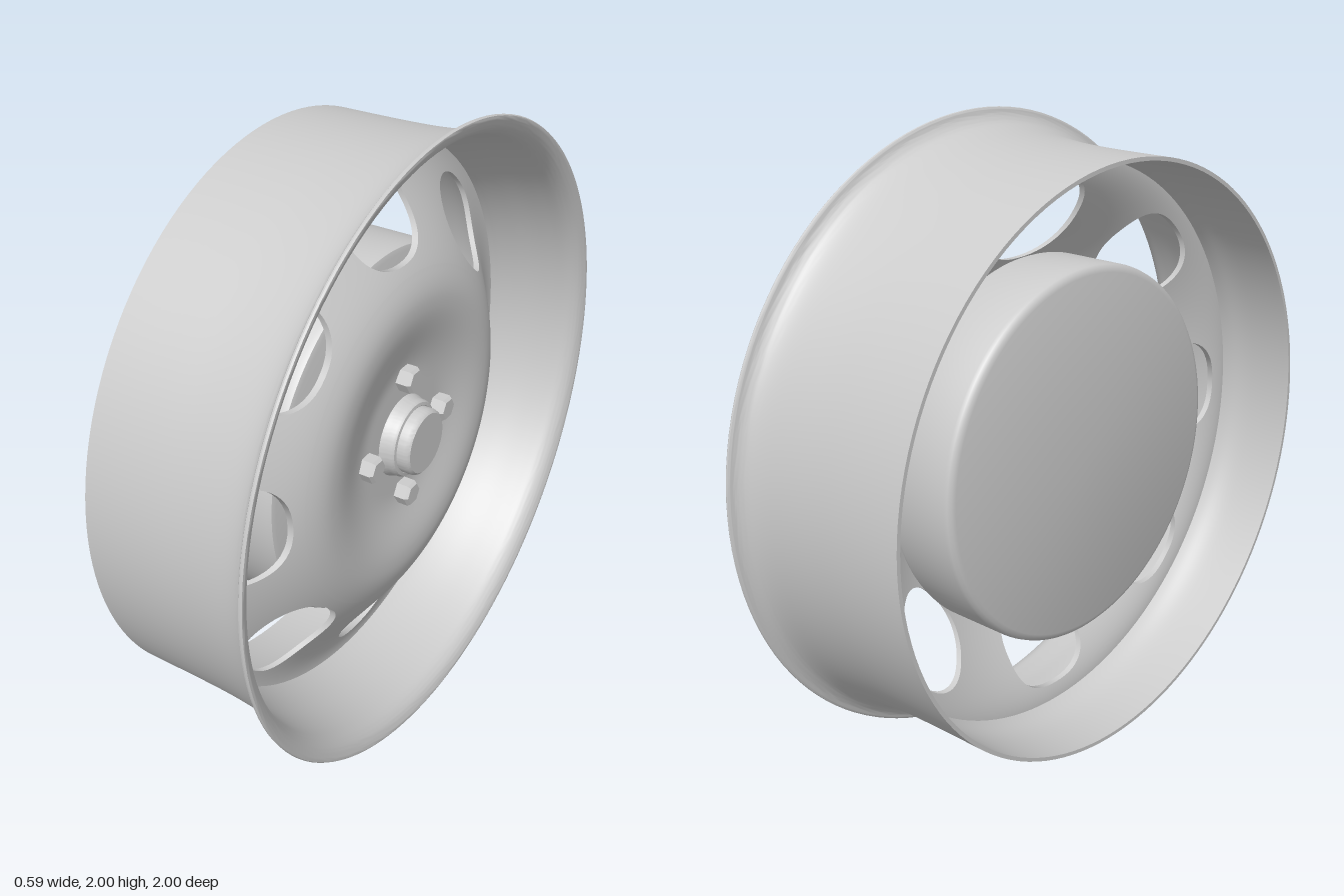
import * as THREE from 'three';
import { toCreasedNormals } from 'three/addons/utils/BufferGeometryUtils.js';

const SEGMENTS = 128, HOLES = 8;
const BAND_IN = 0.54, BAND_OUT = 0.89, THICK = 0.02;
const { smoothstep, lerp } = THREE.MathUtils;
const material = new THREE.MeshStandardMaterial({ color: 0xcccccc, side: THREE.DoubleSide });

// Height of the pressed disc along the axle: flat centre, raised crest, falling edge
const height = r => 0.15 + 0.042 * smoothstep(r, 0.2, 0.43) - 0.212 * smoothstep(r, 0.44, 0.89);

// Solid of revolution; profile runs bottom to top on the outside, then inwards
function turned(name, profile, crease = 0.6) {
  const points = profile.map(([r, y]) => new THREE.Vector2(r, y));
  const mesh = new THREE.Mesh(toCreasedNormals(new THREE.LatheGeometry(points, SEGMENTS), crease), material);
  mesh.name = name;
  return mesh;
}

// Smooth profile through a few points
function smooth(points, n) {
  return new THREE.SplineCurve(points.map(p => new THREE.Vector2(...p))).getPoints(n).map(p => [p.x, p.y]);
}

// One disc sector with a rounded hole: loops blend from the hole edge to the sector border
function holedSector() {
  const side = 16, rings = 10, half = Math.PI / HOLES;
  const border = [];
  const corners = [[-half, BAND_IN], [half, BAND_IN], [half, BAND_OUT], [-half, BAND_OUT]];
  corners.forEach((a, i) => {
    const b = corners[(i + 1) % 4];
    for (let k = 0; k < side; k++) border.push([lerp(a[0], b[0], k / side), lerp(a[1], b[1], k / side)]);
  });
  const mid = 0.702, count = border.length;
  const hole = border.map(([a, r]) => {
    const u = a * mid / 0.163, v = (r - mid) / 0.131;
    const k = Math.pow(Math.pow(Math.abs(u), 2.4) + Math.pow(Math.abs(v), 2.4), -1 / 2.4);
    // Flat offset inside the hole, turned back into angle and radius
    const x = u * k * 0.163, z = mid + v * k * 0.131;
    return [Math.atan2(x, z), Math.hypot(x, z)];
  });
  const positions = [], normals = [], index = [];
  function addLoop(blend, drop, wall) {
    for (let i = 0; i < count; i++) {
      const a = lerp(hole[i][0], border[i][0], blend), r = lerp(hole[i][1], border[i][1], blend);
      positions.push(r * Math.sin(a), height(r) - drop, r * Math.cos(a));
      const slope = (height(r + 1e-3) - height(r - 1e-3)) / 2e-3;
      const n = new THREE.Vector3(-slope * Math.sin(a), 1, -slope * Math.cos(a));
      if (drop) n.negate();
      if (wall) n.set(-r * Math.sin(a), 0, mid - r * Math.cos(a));
      normals.push(...n.normalize().toArray());
    }
  }
  function joinLoops(first, flip) {
    for (let i = 0; i < count; i++) {
      const j = (i + 1) % count;
      const a = first + i, b = first + j, c = first + count + i, d = first + count + j;
      if (flip) index.push(a, b, c, b, d, c);
      else index.push(a, c, b, b, c, d);
    }
  }
  let start = 0;
  for (const drop of [0, THICK]) {
    for (let k = 0; k <= rings; k++) {
      addLoop(k / rings, drop, false);
      if (k < rings) joinLoops(start + k * count, drop > 0);
    }
    start += (rings + 1) * count;
  }
  // Wall through the hole
  addLoop(0, 0, true);
  addLoop(0, THICK, true);
  joinLoops(start, true);
  const g = new THREE.BufferGeometry();
  g.setAttribute('position', new THREE.Float32BufferAttribute(positions, 3));
  g.setAttribute('normal', new THREE.Float32BufferAttribute(normals, 3));
  g.setIndex(index);
  return g;
}

export function createModel() {
  const model = new THREE.Group();
  model.name = 'wheel';
  const wheel = new THREE.Group();
  wheel.name = 'wheelAssembly';

  // Rim barrel with flared lip
  const outside = smooth([[0.915, -0.295], [0.917, -0.1], [0.922, 0.05], [0.935, 0.18],
    [0.952, 0.245], [0.975, 0.272], [0.994, 0.28]], 40);
  const lip = [[0.999, 0.284], [1, 0.289], [0.997, 0.294], [0.991, 0.295]];
  const inside = smooth([[0.985, 0.293], [0.96, 0.28], [0.938, 0.25], [0.925, 0.2], [0.912, 0.14],
    [0.895, 0.07], [0.884, 0], [0.886, -0.06], [0.9, -0.14], [0.903, -0.295]], 50);
  wheel.add(turned('rim', [...outside, ...lip, ...inside, [0.915, -0.295]]));

  // Pressed disc: plain centre and a ring of holed sectors
  const disc = new THREE.Group();
  disc.name = 'disc';
  const centre = [];
  for (let k = 0; k <= 32; k++) {
    const r = lerp(BAND_IN, 0.05, k / 32);
    centre.push([r, height(r)]);
  }
  disc.add(turned('discCentre', centre));
  const sector = holedSector();
  for (let i = 0; i < HOLES; i++) {
    const mesh = new THREE.Mesh(sector, material);
    mesh.name = 'discSector';
    mesh.rotation.y = i * 2 * Math.PI / HOLES;
    disc.add(mesh);
  }
  wheel.add(disc);

  // Brake drum behind the disc
  wheel.add(turned('brakeDrum', [[0, -0.155], [0.565, -0.155], [0.578, -0.151], [0.587, -0.142],
    [0.59, -0.13], [0.59, 0.07], [0.585, 0.085], [0.57, 0.09], [0, 0.09]]));

  // Hub collar and cap
  wheel.add(turned('hubCollar', [[0.132, 0.145], [0.13, 0.158], [0.124, 0.172], [0.123, 0.188],
    [0.118, 0.196], [0.108, 0.198], [0.1, 0.192]]));
  wheel.add(turned('hubCap', [[0.106, 0.15], [0.106, 0.222], [0.103, 0.232], [0.096, 0.238], [0, 0.238]]));

  // Four hexagonal wheel bolts with chamfered heads
  const boltShape = [[0.042, 0], [0.042, 0.04], [0.034, 0.05], [0, 0.05]].map(p => new THREE.Vector2(...p));
  const boltGeometry = toCreasedNormals(new THREE.LatheGeometry(boltShape, 6), 0.3);
  for (let i = 0; i < 4; i++) {
    const bolt = new THREE.Mesh(boltGeometry, material);
    const a = i * Math.PI / 2;
    bolt.name = 'wheelBolt';
    bolt.position.set(0.205 * Math.sin(a), 0.148, 0.205 * Math.cos(a));
    wheel.add(bolt);
  }

  // Axle along x, outer face towards +x
  wheel.rotation.z = -Math.PI / 2;
  wheel.position.y = 1;
  model.add(wheel);
  return model;
}
